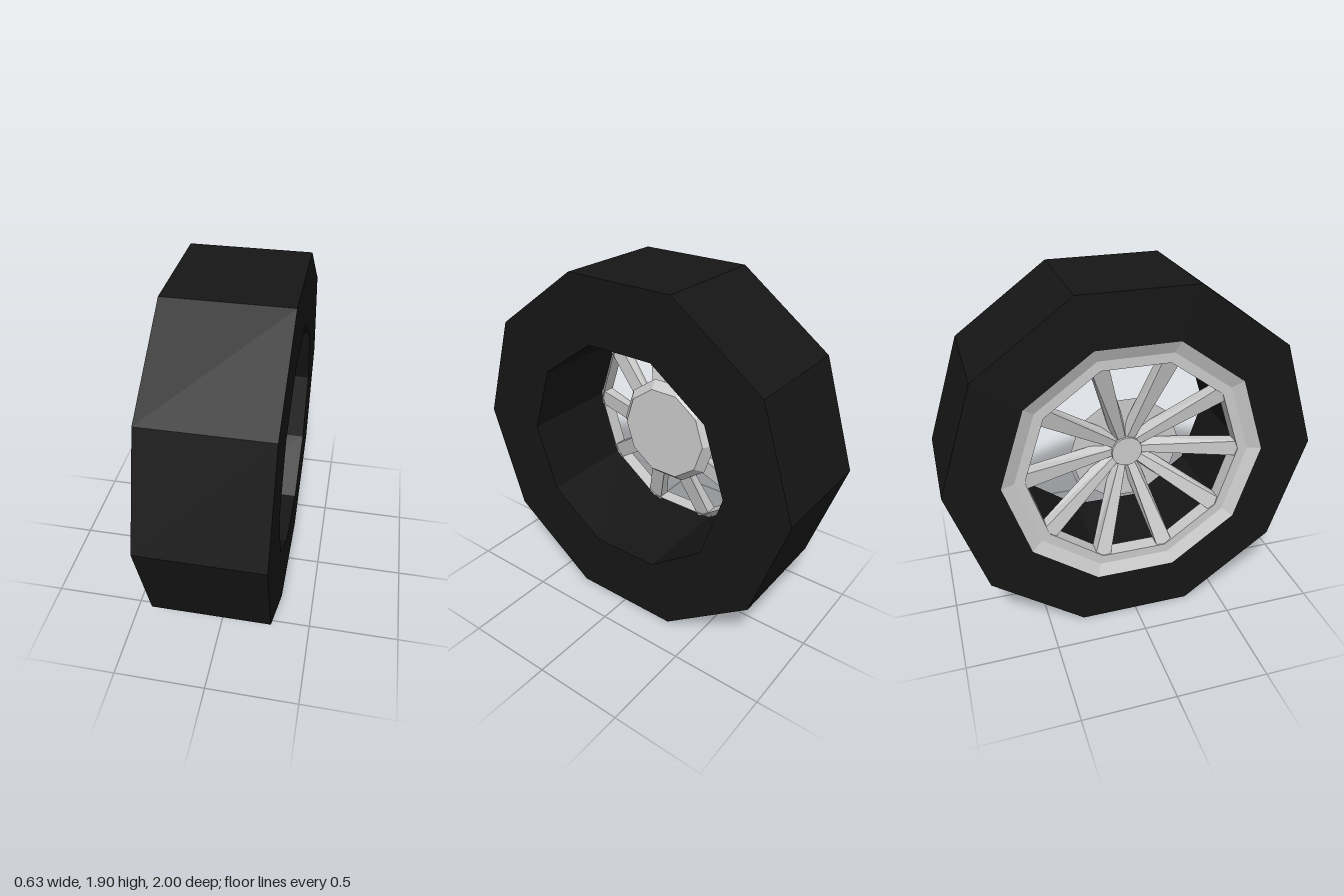
import * as THREE from 'three';

const SIDES = 10;
const lerp = THREE.MathUtils.lerp;

// Ten-sided ring around the x axis from a closed profile of [radius, x] points
function ring(name, profile, material) {
  const points = profile.map(([r, x]) => new THREE.Vector2(r, x));
  const geometry = new THREE.LatheGeometry(points, SIDES).rotateZ(-Math.PI / 2);
  const mesh = new THREE.Mesh(geometry, material);
  mesh.name = name;
  return mesh;
}

// Tapered bar running outward (y) and leaning towards -x, narrower on its outer face
function spokeGeometry() {
  const geometry = new THREE.BoxGeometry(1, 1, 1);
  const p = geometry.attributes.position;
  for (let i = 0; i < p.count; i++) {
    const t = p.getY(i) + 0.5;
    const outerFace = p.getX(i) < 0;
    const x = outerFace ? lerp(-0.12, -0.285, t) : lerp(-0.06, -0.215, t);
    const width = outerFace ? lerp(0.04, 0.09, t) : 0.09;
    p.setXYZ(i, x, lerp(0.06, 0.6, t), Math.sign(p.getZ(i)) * width / 2);
  }
  geometry.computeVertexNormals();
  return geometry;
}

export function createModel() {
  const rubber = new THREE.MeshStandardMaterial({ color: 0x161616, flatShading: true });
  const metal = new THREE.MeshStandardMaterial({ color: 0xcccccc, flatShading: true });
  const wheel = new THREE.Group();
  wheel.name = 'wheel';

  // Tire, with a chamfered seat for the rim on the -x side
  wheel.add(ring('tire', [
    [0.71, -0.315], [1, -0.315], [1, 0.315], [0.63, 0.315], [0.63, -0.25], [0.71, -0.315],
  ], rubber));

  // Rim with a sloping lip
  wheel.add(ring('rim', [
    [0.71, -0.315], [0.63, -0.25], [0.585, -0.2], [0.585, -0.285], [0.64, -0.285], [0.71, -0.315],
  ], metal));

  // Bevelled hub plate behind the spokes
  wheel.add(ring('hubPlate', [
    [0, -0.1], [0.31, -0.1], [0.265, -0.05], [0, -0.05],
  ], metal));

  // Spokes, one to each rim corner
  const spokes = new THREE.Group();
  spokes.name = 'spokes';
  const bar = spokeGeometry();
  for (let i = 0; i < SIDES; i++) {
    const spoke = new THREE.Mesh(bar, metal);
    spoke.name = 'spoke';
    spoke.rotation.x = Math.PI / 2 + (i * 2 * Math.PI) / SIDES;
    spokes.add(spoke);
  }
  wheel.add(spokes);

  // Small cap where the spokes meet
  const cap = new THREE.Mesh(
    new THREE.CylinderGeometry(0.085, 0.085, 0.08, 16).rotateZ(Math.PI / 2), metal);
  cap.name = 'centreCap';
  cap.position.x = -0.1;
  wheel.add(cap);

  // Rest the flat bottom side on the ground
  wheel.position.y = Math.cos(Math.PI / SIDES);
  const model = new THREE.Group();
  model.add(wheel);
  return model;
}
